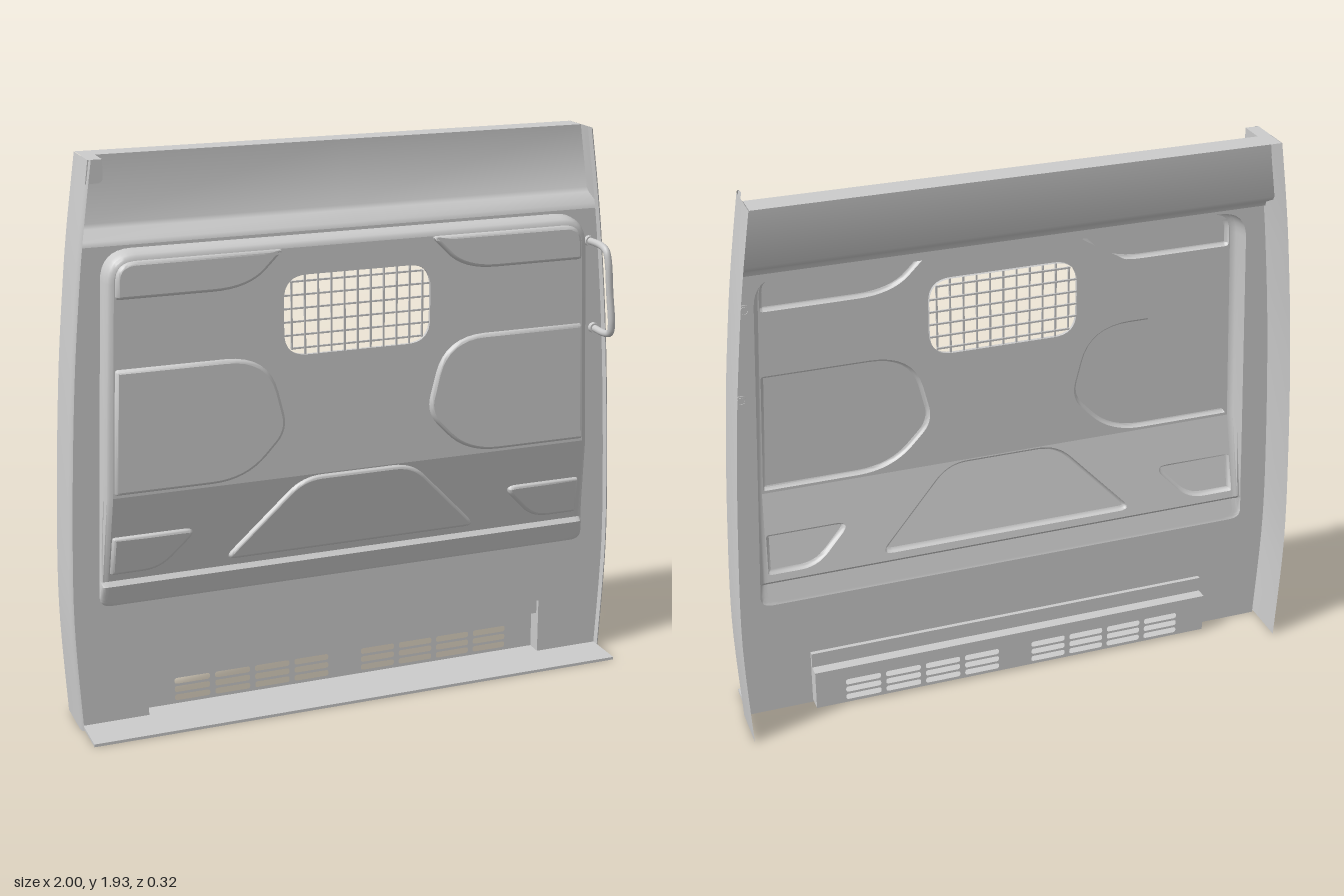
import * as THREE from 'three';
import { toCreasedNormals } from 'three/addons/utils/BufferGeometryUtils.js';

const V2 = (x, y) => new THREE.Vector2(x, y);
const material = new THREE.MeshStandardMaterial({ color: 0xcccccc, side: THREE.DoubleSide });
const PLATE_Z = 0.005, BACK_Z = -0.155, TOP_Z = -0.07, TOP = 1.93, RAISE = 0.015;

// Linear lookup in a table of [key, value] pairs
function interp(table, k) {
  for (let i = 1; i < table.length; i++) {
    const [a, va] = table[i - 1], [b, vb] = table[i];
    if (k <= b) return va + (vb - va) * Math.max(0, (k - a) / (b - a));
  }
  return table[table.length - 1][1];
}

// Half width of the whole bulkhead at each height
const sideCurve = new THREE.SplineCurve([[0, 0.982], [0.4, 0.999], [0.8, 0.988], [1.2, 0.965],
  [1.5, 0.938], [1.7, 0.915], [TOP, 0.882]].map(p => V2(...p)));
const sideTable = sideCurve.getPoints(36).map(p => [p.x, p.y]);
const halfWidth = y => interp(sideTable, y);

// Depth of the pressed panel face at each height, and its half width
const LEVELS = [[0.43, PLATE_Z + 0.001], [0.505, 0.025], [0.52, 0.01], [0.83, 0.072], [1.64, 0.072]];
const faceZ = y => interp(LEVELS, y);
const panelHalf = y => 0.915 - 0.04 * y;

// Polygon of [x, y, radius] corners with rounded corners, as a point loop
function rounded(corners) {
  const pts = corners.map(c => V2(c[0], c[1])), out = [];
  pts.forEach((p, i) => {
    const r = corners[i][2] || 0;
    if (!r) return out.push(p);
    const prev = pts[(i + pts.length - 1) % pts.length], next = pts[(i + 1) % pts.length];
    const toward = q => p.clone().add(q.clone().sub(p).setLength(Math.min(r, p.distanceTo(q) * 0.49)));
    out.push(...new THREE.QuadraticBezierCurve(toward(prev), p, toward(next)).getPoints(8));
  });
  return out;
}
const rect = (x0, y0, x1, y1, r = 0) => rounded([[x0, y0, r], [x1, y0, r], [x1, y1, r], [x0, y1, r]]);
const mirrored = loop => loop.map(p => V2(-p.x, p.y)).reverse();

// Move a counter-clockwise loop inwards
function inset(loop, d) {
  return loop.map((p, i) => {
    const t = loop[(i + 1) % loop.length].clone().sub(loop[(i + loop.length - 1) % loop.length]).normalize();
    return V2(p.x - t.y * d, p.y + t.x * d);
  });
}

// Flat or bent sheet with holes; z comes from a rule
function sheet(loop, holes, zRule) {
  const shape = new THREE.Shape(loop);
  shape.holes = holes.map(h => new THREE.Path(h));
  const geo = new THREE.ShapeGeometry(shape), pos = geo.attributes.position;
  for (let i = 0; i < pos.count; i++) pos.setZ(i, zRule(pos.getY(i)));
  geo.computeVertexNormals();
  return geo;
}

// Skin over rows of [x, y, z] points
function loft(rows, closed = false) {
  const n = rows[0].length, index = [];
  for (let r = 0; r < rows.length - 1; r++) {
    for (let i = 0; i < (closed ? n : n - 1); i++) {
      const a = r * n + i, b = r * n + (i + 1) % n;
      index.push(a, b, b + n, a, b + n, a + n);
    }
  }
  const geo = new THREE.BufferGeometry();
  geo.setAttribute('position', new THREE.Float32BufferAttribute(rows.flat(2), 3));
  geo.setIndex(index);
  return toCreasedNormals(geo, 0.8);
}

// Outline of the pressed panel, drawn in by d
function panelLoop(d) {
  const side = y => panelHalf(y) - d;
  const low = 0.43 + d * 0.3, high = 1.64 - d;
  const right = [[side(low), low, 0.045], ...LEVELS.slice(1, 4).map(([y]) => [side(y), y]), [side(high), high, 0.1 - d]];
  return rounded([...right, ...right.map(([x, y, r]) => [-x, y, r]).reverse()]);
}

export function createModel() {
  const model = new THREE.Group();
  const add = (name, geo, parent = model) => {
    const mesh = new THREE.Mesh(geo, material);
    mesh.name = name;
    parent.add(mesh);
    return mesh;
  };

  // Lower plate with openings for the pressed panel and the vent recess
  const ys = Array.from({ length: 25 }, (_, i) => 1.65 * i / 24);
  const rightEdge = ys.map(y => V2(halfWidth(y) - 0.008, y));
  const recess = rect(-0.74, 0.01, 0.735, 0.21);
  add('mainPlate', sheet([...rightEdge, ...mirrored(rightEdge)], [panelLoop(0), recess], () => PLATE_Z));

  // Step back to the upper plate, then the top flange
  const profile = [[1.65, PLATE_Z], [1.665, 0], [1.695, -0.058], [1.71, TOP_Z], [TOP, TOP_Z], [TOP, BACK_Z]];
  add('upperPlate', loft(profile.map(([y, z]) => [-1, 0, 1].map(s => [s * (halfWidth(y) - 0.002), y, z]))));

  // Curved side flanges with a rolled front lip
  const lip = [[0, BACK_Z], [0, 0.008], [0.004, 0.02], [0.01, 0.025], [0.014, PLATE_Z]];
  for (const s of [1, -1]) {
    const rows = lip.map(([d, z]) => sideTable.map(([y, w]) => [s * (w - d), y, z]));
    add(s > 0 ? 'leftFlange' : 'rightFlange', loft(s > 0 ? rows.reverse() : rows));
  }
  const block = new THREE.ExtrudeGeometry(new THREE.Shape(rounded(
    [[-0.892, 1.855], [-0.835, 1.855, 0.02], [-0.835, TOP], [-0.882, TOP]])), { depth: 0.09, bevelEnabled: false });
  add('cornerBlock', block.translate(0, 0, TOP_Z));

  // Raised fields: wide upper pair, large middle pair, small lower pair, centre trapezoid
  const edge = y => -(panelHalf(y) - 0.032);
  const upper = rounded([[edge(1.49), 1.49, 0.015], [-0.38, 1.49, 0.12], [-0.262, 1.608, 0.03], [-0.275, 1.612],
    [edge(1.612), 1.612, 0.07]]);
  const middle = rounded([[edge(0.84), 0.84, 0.01], [-0.4, 0.84, 0.12], [-0.25, 1.0, 0.06],
    [-0.315, 1.262, 0.15], [edge(1.262), 1.262, 0.01]]);
  const lower = rounded([[edge(0.545), 0.545, 0.01], [-0.69, 0.545, 0.06], [-0.555, 0.685, 0.06], [edge(0.685), 0.685, 0.01]]);
  const centre = rounded([[-0.47, 0.545, 0.05], [0.47, 0.545, 0.05], [0.2, 0.826, 0.07], [-0.2, 0.826, 0.07]]);
  const upperFields = [upper, middle, mirrored(upper), mirrored(middle)];
  const lowerFields = [lower, mirrored(lower), centre];

  const WIN = { x: 0.26, y0: 1.25, y1: 1.52, r: 0.08 };
  const windowLoop = rect(-WIN.x, WIN.y0, WIN.x, WIN.y1, WIN.r);

  // Pressed panel: rounded rim, then one face per bend
  const panel = new THREE.Group();
  panel.name = 'pressedPanel';
  model.add(panel);
  const rim = [[0, 0], [0.003, 0.55], [0.01, 0.85], [0.018, 0.96], [0.028, 1]];
  add('panelRim', loft(rim.map(([d, f]) => panelLoop(d).map(p =>
    [p.x, p.y, PLATE_Z + (faceZ(p.y) - PLATE_Z) * f])), true), panel);
  const face = panelLoop(0.028);
  for (let i = 0; i < 4; i++) {
    const y0 = LEVELS[i][0] - 1e-6, y1 = LEVELS[i + 1][0] + 1e-6;
    const holes = i === 3 ? [...upperFields, windowLoop] : i === 2 ? lowerFields : [];
    add('panelFace', sheet(face.filter(p => p.y >= y0 && p.y <= y1), holes, faceZ), panel);
  }
  for (const field of [...upperFields, ...lowerFields]) {
    const steps = [[0, 0], [0.003, 0.6], [0.007, 0.9], [0.012, 1]];
    add('raisedFieldEdge', loft(steps.map(([d, f]) => inset(field, d).map(p =>
      [p.x, p.y, faceZ(p.y) + RAISE * f])), true), panel);
    add('raisedField', sheet(inset(field, 0.012), [], y => faceZ(y) + RAISE), panel);
  }

  // Window rim and wire grille, each wire trimmed to the rounded opening
  add('windowRim', loft([0.072, 0.06].map(z => windowLoop.map(p => [p.x, p.y, z])), true));
  const grille = new THREE.Group();
  grille.name = 'windowGrille';
  model.add(grille);
  const midY = (WIN.y0 + WIN.y1) / 2, hy = (WIN.y1 - WIN.y0) / 2;
  const reach = (t, across, along) => {
    const c = Math.max(0, Math.abs(t) - (across - WIN.r));
    return along - WIN.r + Math.sqrt(WIN.r ** 2 - c ** 2);
  };
  for (let i = -5; i <= 5; i++) {
    const t = i * 0.0465;
    add('uprightWire', new THREE.BoxGeometry(0.006, 2 * reach(t, WIN.x, hy), 0.006), grille).position.set(t, midY, 0.067);
  }
  for (let i = -2.5; i <= 2.5; i++) {
    const t = i * 0.045;
    add('crossWire', new THREE.BoxGeometry(2 * reach(t, hy, WIN.x), 0.006, 0.006), grille).position.set(0, midY + t, 0.063);
  }

  // Vent recess in two steps, with eight groups of three slots
  const ventBox = rect(-0.74, 0.01, 0.735, 0.155);
  const wall = (loop, z0, z1) => loft([z0, z1].map(z => loop.map(p => [p.x, p.y, z])), true);
  add('recessWall', wall(recess, PLATE_Z, -0.01));
  add('recessLedge', sheet(rect(-0.74, 0.155, 0.735, 0.21), [], () => -0.01));
  add('ventWall', wall(ventBox, -0.01, -0.05));
  const slots = [];
  for (const start of [-0.632, 0.06]) {
    for (let i = 0; i < 4; i++) {
      for (const y of [0.032, 0.063, 0.094]) {
        const x = start + i * 0.1465;
        slots.push(rect(x, y - 0.011, x + 0.128, y + 0.011, 0.01));
      }
    }
  }
  add('ventFace', sheet(ventBox, slots, () => -0.05));

  // Floor flange
  add('floorFlange', new THREE.BoxGeometry(1.94, 0.01, 0.15)).position.set(0, 0.005, 0.08);

  // Grab handle with round feet
  const grip = new THREE.CatmullRomCurve3([[0.885, 1.537, 0], [0.885, 1.537, 0.1], [0.886, 1.525, 0.135], [0.889, 1.49, 0.147],
    [0.9, 1.375, 0.147], [0.911, 1.27, 0.147], [0.914, 1.235, 0.135], [0.915, 1.223, 0.1], [0.915, 1.223, 0]]
    .map(p => new THREE.Vector3(...p)), false, 'centripetal');
  add('grabHandle', new THREE.TubeGeometry(grip, 64, 0.0125, 12));
  for (const [x, y] of [[0.885, 1.537], [0.915, 1.223]]) {
    add('handleFoot', new THREE.CylinderGeometry(0.018, 0.018, 0.02, 20).rotateX(Math.PI / 2)).position.set(x, y, 0.012);
  }
  return model;
}
